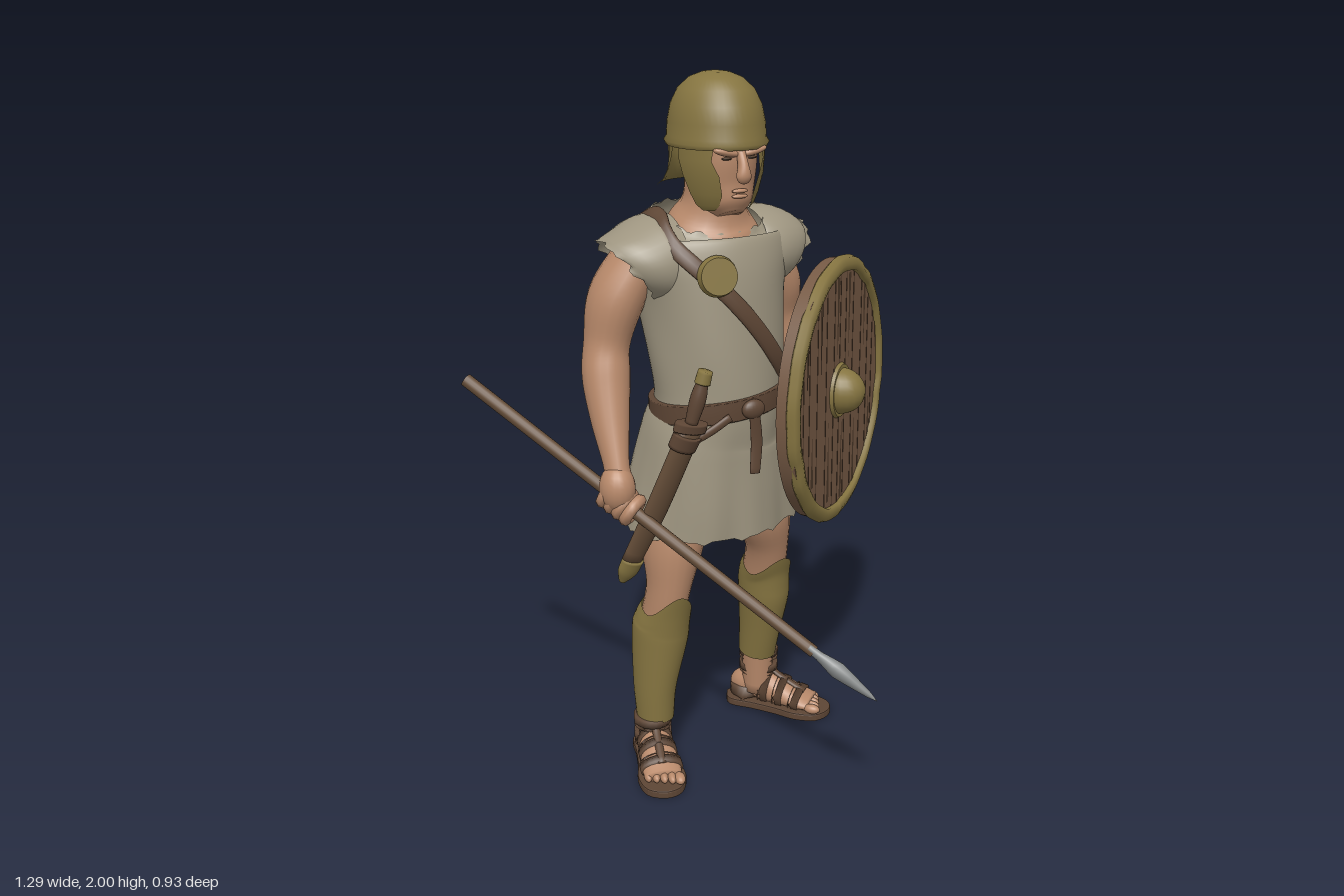
import * as THREE from 'three';

const V = (x, y, z) => new THREE.Vector3(x, y, z);
const mat = (name, color, side = THREE.FrontSide) => {
  const m = new THREE.MeshStandardMaterial({ color, side });
  m.name = name;
  return m;
};

// Elliptical rings [x, y, z, ra, rb] swept along a smooth path; ref gives the direction of ra
function sweep(pts, { seg = 20, steps = 6, ref = V(1, 0, 0), cap = true, mod } = {}) {
  const path = new THREE.CatmullRomCurve3(pts.map(p => V(p[0], p[1], p[2])), false, 'catmullrom');
  const radii = new THREE.CatmullRomCurve3(pts.map(p => V(p[3], p[4] ?? p[3], 0)), false, 'catmullrom');
  const n = (pts.length - 1) * steps, pos = [], idx = [];
  for (let i = 0; i <= n; i++) {
    const t = i / n, c = path.getPoint(t), r = radii.getPoint(t), w = path.getTangent(t);
    const u = (typeof ref === 'function' ? ref(c) : ref).clone();
    u.addScaledVector(w, -u.dot(w)).normalize();
    const v = w.clone().cross(u);
    for (let j = 0; j < seg; j++) {
      const a = j / seg * Math.PI * 2;
      const p = c.clone().addScaledVector(u, r.x * Math.cos(a)).addScaledVector(v, r.y * Math.sin(a));
      if (mod) mod(p, a, t, c);
      pos.push(p.x, p.y, p.z);
      if (i < n) {
        const k = (j + 1) % seg, A = i * seg + j, B = i * seg + k;
        idx.push(A, B, B + seg, A, B + seg, A + seg);
      }
    }
  }
  if (cap) {
    const s = pos.length / 3, a = path.getPoint(0), b = path.getPoint(1);
    pos.push(a.x, a.y, a.z, b.x, b.y, b.z);
    for (let j = 0; j < seg; j++) {
      const k = (j + 1) % seg;
      idx.push(s, k, j, s + 1, n * seg + j, n * seg + k);
    }
  }
  return surface(pos, idx);
}

function surface(pos, idx) {
  const g = new THREE.BufferGeometry();
  g.setAttribute('position', new THREE.Float32BufferAttribute(pos, 3));
  g.setIndex(idx);
  g.computeVertexNormals();
  return g;
}

// Curved plate around the head, rows [y, radius, startAngle, endAngle], angle 0 faces front
function headPlate(rows, side = 1, seg = 14) {
  const pos = [], idx = [];
  rows.forEach(([y, r, a0, a1], i) => {
    for (let j = 0; j <= seg; j++) {
      const a = side * (a0 + (a1 - a0) * j / seg);
      pos.push(r * Math.sin(a), y, -0.15 + r * 1.2 * Math.cos(a));
      const A = i * (seg + 1) + j, D = A + seg + 1;
      if (i < rows.length - 1 && j < seg) {
        if (side > 0) idx.push(A, D, A + 1, A + 1, D, D + 1);
        else idx.push(A, A + 1, D, A + 1, D + 1, D);
      }
    }
  });
  return surface(pos, idx);
}

export function createModel() {
  const DS = THREE.DoubleSide;
  const skin = mat('skin', 0xb98a6b), cloth = mat('linen', 0x9e9580, DS), bronze = mat('bronze', 0x867541, DS);
  const leather = mat('leather', 0x5e4635), wood = mat('wood', 0x664e39), plank = mat('shieldWood', 0x765a45);
  const dark = mat('darkWood', 0x4b3829), steel = mat('steel', 0x8b8e8e);
  const root = new THREE.Group();
  root.name = 'shieldBearer';
  const add = (name, geo, m, parent = root) => {
    const mesh = new THREE.Mesh(geo, m);
    mesh.name = name;
    parent.add(mesh);
    return mesh;
  };
  const group = name => { const g = new THREE.Group(); g.name = name; root.add(g); return g; };
  const ball = (name, m, p, s, parent) => {
    const b = add(name, new THREE.SphereGeometry(1, 20, 14), m, parent);
    b.position.set(...p); b.scale.set(...s);
    return b;
  };

  // Tunic with folds, a ragged hem and a scooped neckline
  const torso = [[-.01, .745, -.192, .265, .202], [-.01, .85, -.183, .245, .195], [-.01, 1, -.168, .213, .18],
    [0, 1.1, -.152, .185, .17], [0, 1.25, -.163, .195, .175], [0, 1.4, -.19, .212, .192],
    [0, 1.5, -.205, .235, .19], [0, 1.57, -.215, .225, .17], [0, 1.625, -.21, .16, .138]];
  add('tunic', sweep(torso, { seg: 72, cap: false, mod: (p, a, t, c) => {
    const low = Math.max(0, (1.08 - p.y) / .34), f = 1 + .025 * low * Math.sin(9 * a + 1) + .012 * low * Math.sin(16 * a)
      + .01 * Math.sin(5 * a + 14 * p.y);
    p.x = c.x + (p.x - c.x) * f;
    p.z = c.z + (p.z - c.z) * f;
    if (t < .02) p.y += .005 * Math.sin(13 * a) + .004 * Math.sin(29 * a);
    p.y -= .035 * Math.max(0, (t - .85) / .15) * Math.max(0, (p.z + .2) / .13);
    if (t > .98) p.y += .006 * Math.sin(17 * a);
  } }), cloth);
  // Cap sleeves: long over the shoulder, cut back under the arm
  for (const [s, z] of [[1, -.255], [-1, -.222]]) {
    add('sleeve', sweep([[s * .1, 1.515, -.21, .11, .135], [s * .16, 1.505, -.217, .122, .15], [s * .23, 1.49, z + .008, .11, .146], [s * .3, 1.475, z, .09, .125]],
      { seg: 40, ref: V(0, 1, 0), cap: false, mod: (p, a, t) => {
        p.x -= s * t * .115 * Math.min(1, Math.max(0, (1.565 - p.y) / .18));
        if (t > .95) p.x += s * (.007 * Math.sin(13 * a) + .006 * Math.sin(8 * a));
      } }), cloth);
  }

  // Neck, head and face
  add('neck', sweep([[0, 1.5, -.19, .16, .145], [0, 1.59, -.185, .13, .12], [0, 1.66, -.17, .085, .09], [0, 1.76, -.16, .08, .09]]), skin);
  add('head', sweep([[0, 1.632, -.075, .035, .035], [0, 1.655, -.085, .062, .063], [0, 1.7, -.105, .08, .085],
    [0, 1.76, -.125, .092, .113], [0, 1.84, -.15, .1, .135], [0, 1.92, -.15, .08, .1]], { seg: 28 }), skin);
  add('nose', sweep([[0, 1.81, -.022, .012, .012], [0, 1.77, -.005, .014, .016], [0, 1.74, -.002, .021, .018], [0, 1.73, -.012, .012, .01]]), skin);
  for (const s of [1, -1]) {
    const brow = ball('brow', skin, [s * .04, 1.803, -.022], [.04, .011, .016]);
    brow.rotation.z = s * .2;
    ball('eye', dark, [s * .037, 1.786, -.026], [.015, .004, .008]);
    ball('lip', skin, [0, 1.694 + s * .007, -.023], [.024, .006, .009]);
  }

  // Helmet: dome, rim, cheek guards, neck guard
  const domePts = [[.129, -.012], [.135, 0], [.128, .012], [.126, .05], [.117, .095], [.098, .135], [.068, .163], [.034, .177], [0, .181]];
  const dome = add('helmetDome', new THREE.LatheGeometry(domePts.map(p => new THREE.Vector2(...p)), 48), bronze);
  dome.position.set(0, 1.82, -.153);
  dome.scale.z = 1.2;
  for (const s of [1, -1]) {
    add('cheekGuard', headPlate([[1.83, .122, .62, 1.5], [1.78, .122, .68, 1.48], [1.74, .119, .52, 1.38],
      [1.69, .107, .45, 1.25], [1.66, .096, .52, 1.15], [1.645, .085, .65, 1.0]], s), bronze);
  }
  add('neckGuard', headPlate([[1.82, .126, 1.6, 4.68], [1.78, .124, 1.75, 4.53], [1.74, .127, 1.95, 4.33],
    [1.71, .14, 2.08, 4.2], [1.695, .157, 2.15, 4.13]]), bronze);

  // Belt, lower on the right hip, with knot and hanging end
  add('belt', sweep([[0, 1.082, -.155, .199, .182], [0, 1.11, -.154, .199, .183], [0, 1.135, -.154, .199, .183]],
    { seg: 48, mod: p => { p.y += .1 * p.x + .06 * (p.z + .15); } }), leather);
  ball('beltKnot', leather, [.01, 1.115, .035], [.035, .028, .018]);
  add('beltEnd', sweep([[.01, 1.11, .04, .016, .007], [.02, 1.02, .035, .018, .007], [.012, .93, .04, .016, .006]]), leather);

  // Shoulder strap following the body from right shoulder to left hip
  const bodyAt = y => {
    let i = 0;
    while (i < torso.length - 2 && torso[i + 1][1] < y) i++;
    const k = Math.min(1, (y - torso[i][1]) / (torso[i + 1][1] - torso[i][1]));
    return torso[i].map((v, j) => v + (torso[i + 1][j] - v) * k);
  };
  const strapPts = [];
  for (let i = 0; i <= 24; i++) {
    const a = i / 24 * Math.PI * 2, y = 1.375 - .255 * Math.cos(a), b = bodyAt(y);
    strapPts.push([b[0] + (b[3] + .005) * Math.cos(a), y, b[2] + (b[4] + .008) * Math.sin(a), .009, .024]);
  }
  add('shoulderStrap', sweep(strapPts, { seg: 10, steps: 3, ref: c => V(c.x, (c.y - 1.36) * .9, c.z + .18) }), leather);
  const disc = add('strapDisc', new THREE.CylinderGeometry(.05, .056, .022, 28), bronze);
  disc.position.set(-.077, 1.485, 0);
  disc.rotation.set(1.4, 0, .2);

  // Arms
  add('rightArm', sweep([[-.2, 1.52, -.222, .065, .08], [-.268, 1.4, -.238, .076, .088], [-.298, 1.28, -.24, .064, .07],
    [-.313, 1.19, -.217, .067, .066], [-.325, 1.08, -.172, .054, .055], [-.335, .97, -.118, .036, .04], [-.335, .92, -.1, .04, .04]]), skin);
  add('leftArm', sweep([[.18, 1.52, -.245, .065, .08], [.25, 1.4, -.272, .073, .09], [.275, 1.29, -.285, .062, .07],
    [.31, 1.2, -.265, .06, .062], [.34, 1.13, -.21, .052, .054], [.315, 1.095, -.165, .038, .038], [.295, 1.08, -.145, .035, .035]]), skin);
  add('leftWristBand', sweep([[.337, 1.118, -.197, .054, .054], [.317, 1.098, -.168, .047, .047]], { steps: 3 }), leather);
  ball('leftHand', skin, [.285, 1.075, -.14], [.05, .055, .045]);

  // Spear in the right hand
  const tail = V(-.635, 1.165, -.455), tip = V(.153, .385, .465), spear = group('spear');
  const len = tail.distanceTo(tip), dir = tip.clone().sub(tail).normalize();
  spear.position.copy(tail);
  spear.quaternion.setFromUnitVectors(V(0, 1, 0), dir);
  add('spearShaft', new THREE.CylinderGeometry(.017, .019, len * .85, 14).translate(0, len * .425, 0), wood, spear);
  const head = [[.019, 0], [.02, .035], [.032, .08], [.036, .1], [.028, .14], [.013, .205], [0, .235]];
  add('spearHead', new THREE.LatheGeometry(head.map(p => new THREE.Vector2(...p)), 12).scale(1, 1, .65)
    .translate(0, len - .235, 0), steel, spear);
  for (let i = 0; i < 4; i++) {
    const finger = add('finger', new THREE.TorusGeometry(.033, .018, 8, 18), skin, spear);
    finger.rotation.x = Math.PI / 2;
    finger.position.y = len * .385 + (i - 1.5) * .027;
  }
  ball('rightHand', skin, [-.342, .905, -.1], [.05, .068, .054]);

  // Sheathed sword on the right hip
  const sword = group('sword');
  add('scabbard', sweep([[-.18, 1.08, .025, .035, .022], [-.25, .84, -.05, .036, .02], [-.3, .68, -.108, .032, .018]]), wood, sword);
  add('scabbardTip', sweep([[-.298, .68, -.105, .035, .021], [-.31, .64, -.12, .031, .019], [-.322, .608, -.133, .01, .009]]), bronze, sword);
  add('scabbardBinding', sweep([[-.185, 1.07, .022, .044, .03], [-.197, 1.03, .008, .042, .03]]), leather, sword);
  add('swordGuard', sweep([[-.182, 1.08, .025, .05, .024], [-.177, 1.105, .03, .05, .024]]), leather, sword);
  add('swordGrip', sweep([[-.18, 1.1, .03, .017], [-.163, 1.17, .04, .022], [-.152, 1.22, .047, .016]]), leather, sword);
  add('pommel', sweep([[-.153, 1.215, .047, .022], [-.145, 1.25, .051, .02]]), bronze, sword);
  add('swordHanger', sweep([[-.06, 1.1, .03, .008, .012], [-.12, 1.07, .03, .008, .012], [-.19, 1.04, .022, .008, .012]],
    { ref: V(0, 0, 1) }), leather, sword);

  // Slightly oval shield: board, plank seams, battered front rim, boss and grip
  const shield = group('shield');
  shield.position.set(.343, 1.09, -.085);
  shield.rotation.y = .627;
  shield.scale.x = .9;
  add('shieldBoard', new THREE.CylinderGeometry(.386, .383, .05, 64).rotateX(Math.PI / 2).translate(0, 0, -.005), plank, shield);
  for (let i = -5; i <= 5; i++) {
    const x = i * .06 + .012 * Math.sin(i * 5), h = Math.sqrt(.35 ** 2 - x * x);
    for (const z of [.0195, -.0295]) {
      const seam = add('plankSeam', new THREE.BoxGeometry(.004, h * 2, .003), dark, shield);
      seam.position.set(x, 0, z);
    }
    // Flat wedge of dark grain running in from the rim
    const s = i % 2 ? 1 : -1, y = s * h * .97;
    const wedge = new THREE.Shape([[-.01 * s, y], [0, y - s * h * .75], [.01 * s, y]].map(p => new THREE.Vector2(...p)));
    add('woodGrain', new THREE.ShapeGeometry(wedge).translate(x + .025, 0, .0215), dark, shield);
  }
  const rimPts = [[.348, .012], [.386, .002], [.393, .01], [.387, .028], [.368, .036], [.35, .032], [.348, .012]];
  const rim = new THREE.LatheGeometry(rimPts.map(p => new THREE.Vector2(...p)), 96);
  const rp = rim.attributes.position;
  for (let i = 0; i < rp.count; i++) {
    const a = Math.atan2(rp.getZ(i), rp.getX(i));
    const f = 1 + .007 * Math.sin(11 * a) * Math.sin(7 * a + 1) - .13 * Math.max(0, Math.sin(5 * a + .4) - .9);
    rp.setXYZ(i, rp.getX(i) * f, rp.getY(i), rp.getZ(i) * f);
  }
  rim.computeVertexNormals();
  add('shieldRim', rim.rotateX(Math.PI / 2), bronze, shield);
  add('bossFlange', new THREE.CylinderGeometry(.078, .084, .012, 32).rotateX(Math.PI / 2).translate(0, 0, .024), bronze, shield);
  ball('shieldBoss', bronze, [0, 0, .024], [.073, .068, .075], shield);
  add('shieldGrip', sweep([[0, -.13, -.025, .018, .012], [0, -.06, -.07, .016, .012], [0, .06, -.07, .016, .012], [0, .13, -.025, .018, .012]]), leather, shield);

  // Legs and greaves
  const legs = {
    left: { foot: [.208, -.285, .7], wrap: .18,
      skin: [[.205, .06, -.28, .045, .05], [.2, .25, -.265, .05, .058], [.2, .45, -.24, .06, .075], [.187, .6, -.195, .062, .076],
        [.152, .73, -.178, .088, .104], [.1, .92, -.17, .085, .1]],
      greave: [[.2, .2, -.272, .056, .062], [.202, .3, -.258, .062, .076], [.205, .42, -.243, .073, .094], [.202, .5, -.234, .072, .092], [.196, .565, -.208, .067, .086]] },
    right: { foot: [-.225, -.158, -.28], wrap: .125,
      skin: [[-.224, .05, -.155, .042, .05], [-.215, .25, -.155, .05, .058], [-.192, .42, -.155, .06, .075], [-.178, .56, -.13, .062, .075],
        [-.155, .7, -.14, .086, .102], [-.1, .92, -.16, .085, .1]],
      greave: [[-.218, .14, -.152, .054, .06], [-.214, .25, -.158, .062, .075], [-.194, .4, -.16, .08, .094], [-.188, .47, -.152, .077, .092], [-.183, .535, -.135, .069, .087]] },
  };
  const soleShape = new THREE.Shape(new THREE.SplineCurve([[0, -.1], [.045, -.075], [.05, 0], [.058, .09], [.066, .16], [.045, .22], [0, .24],
    [-.05, .215], [-.066, .15], [-.055, .08], [-.048, 0], [-.045, -.075], [0, -.1]].map(p => new THREE.Vector2(...p))).getPoints(48));
  for (const [side, leg] of Object.entries(legs)) {
    add(side + 'Leg', sweep(leg.skin), skin);
    // Greave rising to a knee guard at the front and dipping behind
    add(side + 'Greave', sweep(leg.greave, { seg: 32, steps: 8, cap: false, mod: (p, a, t, c) => {
      const front = Math.max(0, (p.z - c.z) / .087), rise = Math.max(0, (t - .6) / .4);
      p.y += rise * (.105 * front * front - .05);
      p.z += .016 * rise * front * front;
    } }), bronze);

    // Sandalled foot
    const [x, z, turn] = leg.foot, foot = group(side + 'Foot');
    foot.position.set(x, 0, z);
    foot.rotation.y = turn;
    add('sole', new THREE.ExtrudeGeometry(soleShape, { depth: .014, bevelThickness: .005, bevelSize: .004, bevelSegments: 2 })
      .rotateX(Math.PI / 2).translate(0, .02, 0), leather, foot);
    add('footSkin', sweep([[0, .055, -.075, .025, .03], [0, .07, -.04, .042, .048], [0, .075, .01, .045, .055], [0, .06, .08, .052, .045],
      [0, .044, .15, .057, .027], [0, .038, .185, .052, .018]]), skin, foot);
    for (let i = 0; i < 5; i++) {
      const k = side === 'left' ? 1 : -1;
      ball('toe', skin, [k * (i - 2) * .022, .037, .2 - .008 * i], [i ? .012 : .016, .015, .026], foot);
    }
    for (const [sz, rx, ry, cy] of [[.14, .063, .033, .046], [.085, .057, .048, .058], [.035, .053, .056, .069]]) {
      add('sandalStrap', sweep([[0, cy + .004, sz - .015, rx, ry + .005], [0, cy, sz + .015, rx, ry]], { steps: 2 }), leather, foot);
    }
    add('instepStrap', sweep([[0, .14, .035, .012, .008], [0, .11, .08, .012, .008], [0, .07, .16, .012, .008]]), leather, foot);
    add('heelCup', sweep([[0, .02, -.035, .05, .055], [0, .07, -.035, .05, .052]], { steps: 2 }), leather, foot);
    for (const y of [leg.wrap - .042, leg.wrap + .008]) {
      add('ankleStrap', sweep([[0, y - .016, .005, .056, .062], [0, y + .016, .005, .056, .062]], { steps: 2 }), leather, foot);
    }
  }
  return root;
}
